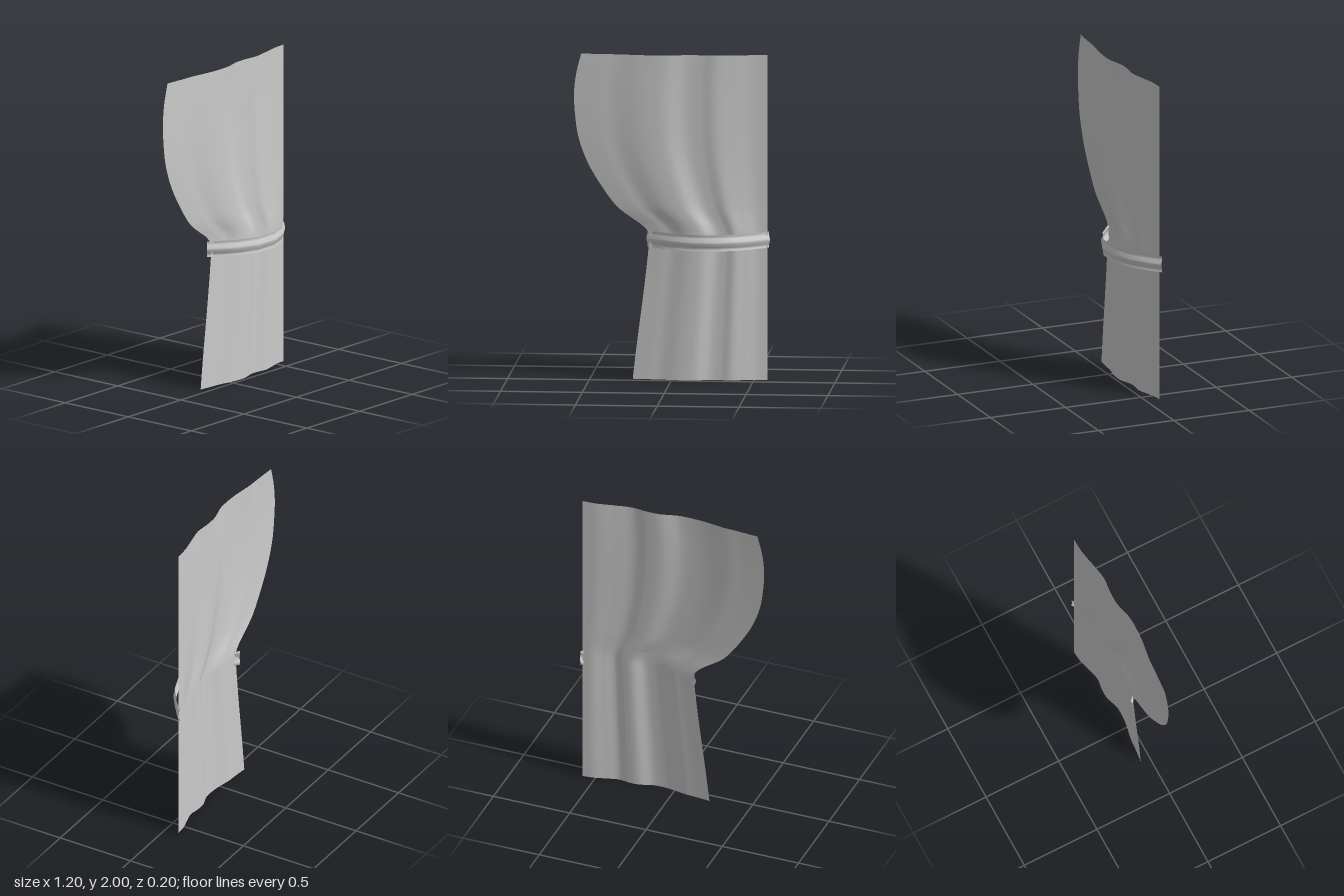
import * as THREE from 'three';
import { ParametricGeometry } from 'three/addons/geometries/ParametricGeometry.js';

const spline = (pts) => new THREE.CatmullRomCurve3(pts.map(([x, y]) => new THREE.Vector3(x, y, 0)));

export function createModel() {
  const group = new THREE.Group();
  const material = new THREE.MeshStandardMaterial({ color: 0xcccccc, side: THREE.DoubleSide });
  const addSheet = (name, fn, slices, stacks) => {
    const mesh = new THREE.Mesh(new ParametricGeometry(fn, slices, stacks), material);
    mesh.name = name;
    group.add(mesh);
  };

  // Gathered free edge of the curtain, bottom to top (x, y)
  const edge = spline([
    [-0.24, 0], [-0.217, 0.2], [-0.191, 0.4], [-0.166, 0.6], [-0.144, 0.8], [-0.137, 0.89],
    [-0.18, 0.945], [-0.25, 0.995], [-0.325, 1.05], [-0.37, 1.1], [-0.44, 1.2], [-0.5, 1.3],
    [-0.545, 1.4], [-0.575, 1.5], [-0.59, 1.6], [-0.599, 1.75], [-0.585, 1.88], [-0.555, 2],
  ]);
  // Fold depth across the width (fraction of width, z)
  const folds = spline([
    [0, -0.06], [0.12, -0.05], [0.2, -0.045], [0.32, -0.026], [0.4, -0.021], [0.47, -0.024],
    [0.57, -0.05], [0.65, -0.051], [0.73, -0.043], [0.82, -0.06], [0.92, -0.082], [1, -0.088],
  ]);
  const hungSide = 0.58;
  const e = new THREE.Vector3(), f = new THREE.Vector3();
  addSheet('curtain', (u, v, target) => {
    edge.getPoint(v, e);
    folds.getPoint(u, f);
    target.set(e.x + (hungSide - e.x) * f.x, e.y, f.y);
  }, 66, 102);

  // Tieback: a ribbed band swept along a faceted arc (x, z)
  const arc = spline([
    [-0.155, -0.08], [-0.09, -0.025], [0, 0.04], [0.133, 0.092],
    [0.285, 0.092], [0.42, 0.04], [0.53, -0.04], [0.592, -0.098],
  ]);
  // Band cross-section, bottom to top (outward offset, y)
  const rib = spline([
    [-0.003, 0.813], [-0.006, 0.828], [0.001, 0.845], [0.006, 0.863],
    [0.001, 0.88], [-0.005, 0.897], [-0.003, 0.913],
  ]);
  const p = new THREE.Vector3(), t = new THREE.Vector3(), r = new THREE.Vector3();
  addSheet('tieback', (u, v, target) => {
    arc.getPoint(u, p);
    arc.getTangent(u, t);
    rib.getPoint(v, r);
    target.set(p.x - t.y * r.x, r.y, p.y + t.x * r.x);
  }, 7, 12);

  return group;
}
